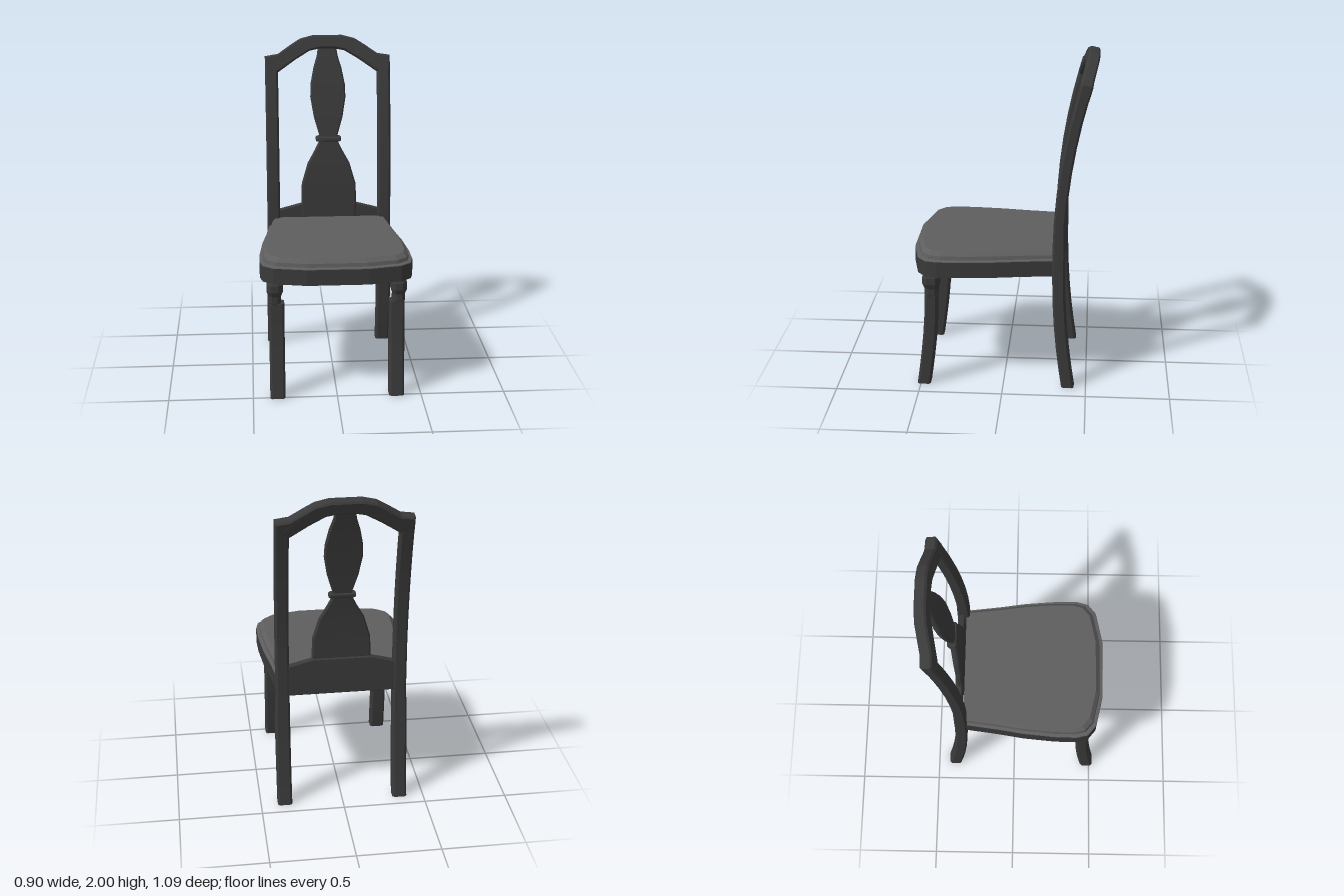
import * as THREE from 'three';

const frame = new THREE.MeshStandardMaterial({ color: 0x3a3a3a, flatShading: true });
frame.name = 'dark frame';
const fabric = new THREE.MeshStandardMaterial({ color: 0x5e5e5e, flatShading: true });
fabric.name = 'grey seat';

// Front face of the curved back at a given height
const backZ = (y) => {
  if (y < 0.75) return -0.29 - 0.063 * ((0.75 - y) / 0.75) ** 2;
  return -0.29 - 0.1437 * Math.max(0, y - 0.85) ** 2;
};

// Solid through cross-sections from bottom to top, each a loop of [x, y, z] running from +x to +z
function loft(rings) {
  const pos = [];
  const n = rings[0].length;
  const cap = (ring, up) => {
    const c = [0, 1, 2].map((k) => ring.reduce((s, p) => s + p[k], 0) / n);
    ring.forEach((a, i) => {
      const b = ring[(i + 1) % n];
      pos.push(...c, ...(up ? b : a), ...(up ? a : b));
    });
  };
  for (let r = 0; r < rings.length - 1; r++) {
    for (let i = 0; i < n; i++) {
      const j = (i + 1) % n;
      const a0 = rings[r][i], b0 = rings[r][j], a1 = rings[r + 1][i], b1 = rings[r + 1][j];
      pos.push(...a0, ...a1, ...b0, ...b0, ...a1, ...b1);
    }
  }
  cap(rings[0], false);
  cap(rings[rings.length - 1], true);
  const geo = new THREE.BufferGeometry();
  geo.setAttribute('position', new THREE.Float32BufferAttribute(pos, 3));
  geo.computeVertexNormals();
  return geo;
}

// Rectangle with cut corners
function section(x, y, z, hx, hz, c) {
  return [
    [hx, -hz + c], [hx, hz - c], [hx - c, hz], [-hx + c, hz],
    [-hx, hz - c], [-hx, -hz + c], [-hx + c, -hz], [hx - c, -hz],
  ].map(([dx, dz]) => [x + dx, y, z + dz]);
}

// Plate symmetric in x, from the points of its right half, leaning with the back
function backPlate(half, offset, thick, bevel) {
  const pts = [...half, ...half.slice().reverse().map(([x, y]) => [-x, y])];
  const shape = new THREE.Shape(pts.map(([x, y]) => new THREE.Vector2(x, y)));
  const geo = new THREE.ExtrudeGeometry(shape, {
    depth: thick - 2 * bevel, bevelEnabled: true, bevelThickness: bevel,
    bevelSize: bevel, bevelOffset: -bevel, bevelSegments: 1,
  });
  geo.translate(0, 0, bevel - thick);
  const p = geo.attributes.position;
  for (let i = 0; i < p.count; i++) {
    const y = p.getY(i), z = p.getZ(i);
    p.setY(i, y + (y > 1.5 ? 0.2 * z : 0));
    p.setZ(i, z + backZ(y) + offset);
  }
  geo.computeVertexNormals();
  return geo;
}

export function createModel() {
  const group = new THREE.Group();
  const add = (name, geo, mat = frame) => {
    const mesh = new THREE.Mesh(geo, mat);
    mesh.name = name;
    group.add(mesh);
  };

  // Seat outline, widening to the front with cut corners
  const half = [
    [0.378, -0.31], [0.405, -0.1], [0.43, 0.06], [0.447, 0.25], [0.449, 0.385],
    [0.432, 0.455], [0.37, 0.505], [0.18, 0.545],
  ];
  const outline = [...half, ...half.slice().reverse().map(([x, z]) => [-x, z])];
  const seatRing = (inset, y) => outline.map(([x, z]) => [
    x * (1 - inset / 0.449), y, z > 0 ? z * (1 - inset / 0.545) : z,
  ]);
  add('seatApron', loft([seatRing(0, 0.72), seatRing(0, 0.815)]));
  add('seatCushion', loft([
    seatRing(0, 0.815), seatRing(0.002, 0.82), seatRing(0.02, 0.823),
    seatRing(0.024, 0.845), seatRing(0.045, 0.868),
  ]), fabric);

  for (const side of [1, -1]) {
    const label = side > 0 ? 'left' : 'right';

    // Back leg and post in one curved sweep
    const post = [0, 0.12, 0.25, 0.4, 0.55, 0.72, 0.9, 1.05, 1.2, 1.35, 1.5, 1.65, 1.8].map((y) => {
      const hz = y < 1 ? 0.038 : 0.035;
      const hx = y < 0.72 ? 0.044 : 0.04;
      return section(side * (y < 0.72 ? 0.354 : 0.35), y, backZ(y) - hz, hx, hz, 0.012);
    });
    add(label + 'BackPost', loft(post));

    // Front leg curving forward to the foot
    const leg = [
      [0, 0.481, 0.04], [0.1, 0.467, 0.04], [0.2, 0.454, 0.04], [0.32, 0.441, 0.04],
      [0.45, 0.432, 0.039], [0.58, 0.428, 0.038],
    ].map(([y, z, hz]) => section(side * 0.354, y, z, 0.045, hz, 0.012));
    add(label + 'FrontLeg', loft(leg));

    // Turned collar under the seat
    const collar = [
      [0.57, 0.036], [0.585, 0.041], [0.625, 0.041], [0.64, 0.047], [0.655, 0.053],
      [0.695, 0.053], [0.712, 0.045], [0.73, 0.045],
    ].map(([y, h]) => section(side * 0.364, y, 0.427, h * 0.9, h, h * 0.5));
    add(label + 'LegCollar', loft(collar));
  }

  // Arched top rail
  add('crestRail', backPlate([
    [0.09, 2], [0.17, 1.98], [0.235, 1.94], [0.31, 1.89], [0.39, 1.878],
    [0.39, 1.78], [0.31, 1.78], [0.2, 1.855], [0.11, 1.908], [0.05, 1.92],
  ], 0, 0.068, 0.01));

  // Lower back rail between the posts
  add('lowerBackRail', backPlate([
    [0.17, 0.95], [0.33, 0.908], [0.33, 0.72],
  ], -0.03, 0.04, 0.004));

  // Vase-shaped centre splat, height and half width
  const splat = [
    [0.74, 0.16], [0.86, 0.168], [0.95, 0.174], [1.08, 0.17], [1.21, 0.132], [1.29, 0.087],
    [1.35, 0.058], [1.39, 0.058], [1.5, 0.09], [1.62, 0.11], [1.7, 0.107], [1.8, 0.087],
    [1.87, 0.065], [1.935, 0.055],
  ].map(([y, w]) => section(0, y, backZ(y) - 0.038, w, 0.018, 0.009));
  add('backSplat', loft(splat));

  // Band around the waist of the splat
  const band = [[1.35, 0.073], [1.357, 0.079], [1.373, 0.079], [1.38, 0.073]]
    .map(([y, w]) => section(0, y, backZ(y) - 0.038, w, w - 0.051, 0.009));
  add('splatBand', loft(band));

  return group;
}
